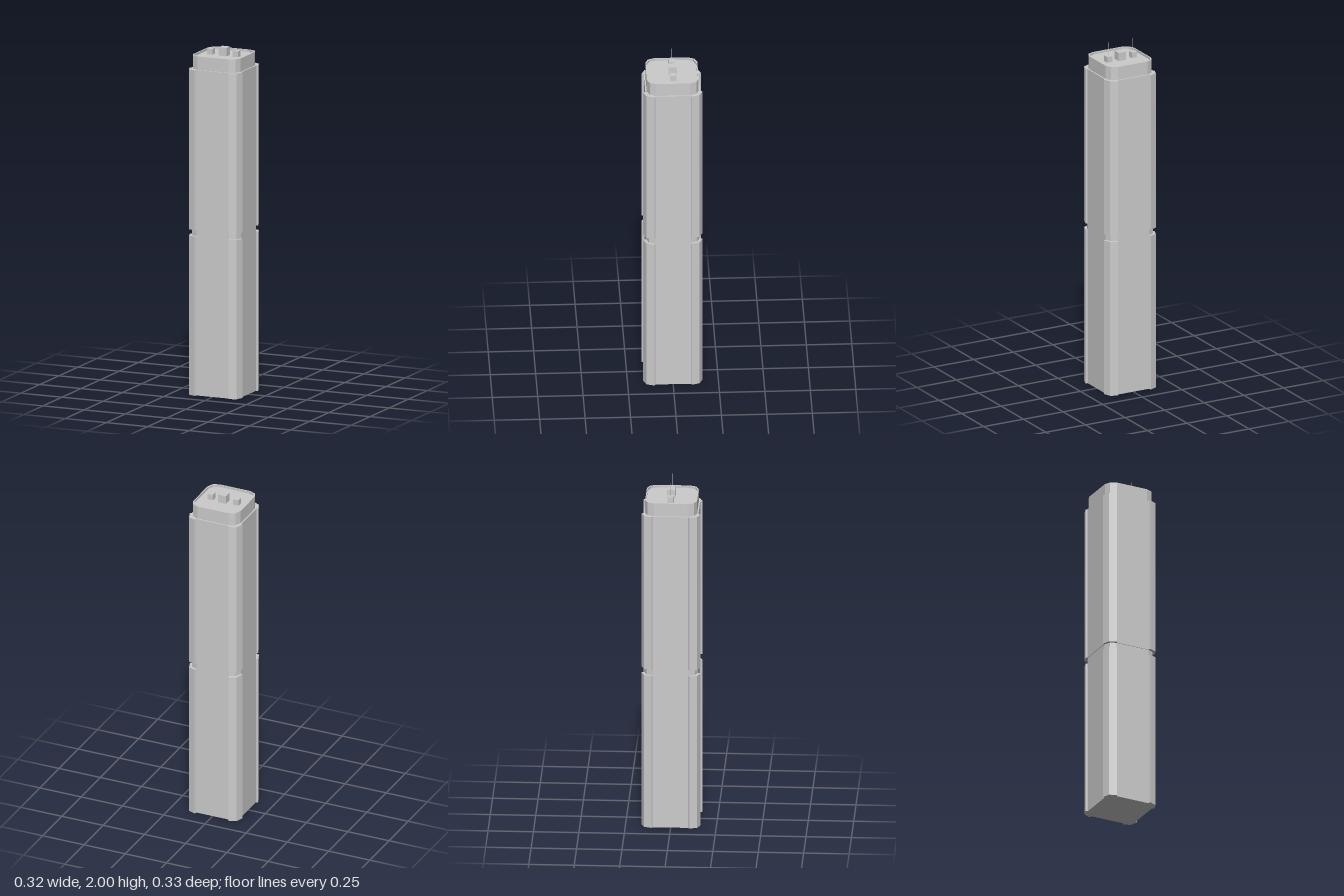
import * as THREE from 'three';

export function createModel() {
  const group = new THREE.Group();
  const material = new THREE.MeshStandardMaterial({ color: 0xcccccc, flatShading: true });

  function add(name, geometry, x = 0, y = 0, z = 0) {
    const mesh = new THREE.Mesh(geometry, material);
    mesh.name = name;
    mesh.position.set(x, y, z);
    group.add(mesh);
    return mesh;
  }

  // Square plan of half width h whose corners are cut by two facets
  function plan(h) {
    const a = h - 0.05, b = h - 0.015;
    const corner = [[h, a], [b, b], [a, h]];
    const points = [];
    for (let i = 0; i < 4; i++) {
      for (const [x, y] of corner) {
        points.push(new THREE.Vector2(x, y).rotateAround(new THREE.Vector2(), i * Math.PI / 2));
      }
    }
    return points;
  }

  // Upright prism from a plan, between two heights
  function prism(name, shape, y0, y1) {
    const geometry = new THREE.ExtrudeGeometry(shape, { depth: y1 - y0, bevelEnabled: false });
    geometry.rotateX(-Math.PI / 2);
    return add(name, geometry, 0, y0, 0);
  }

  // Tower shaft, crown and recessed roof
  prism('lowerShaft', new THREE.Shape(plan(0.148)), 0, 0.93);
  prism('upperShaft', new THREE.Shape(plan(0.151)), 0.93, 1.83);
  prism('crown', new THREE.Shape(plan(0.143)), 1.83, 1.892);
  const rim = new THREE.Shape(plan(0.143));
  rim.holes.push(new THREE.Path(plan(0.137).reverse()));
  prism('roofParapet', rim, 1.892, 1.905);

  // Faceted cladding wrapped around each corner, in two storeys
  const cladding = [
    [0.151, 0.097], [0.159, 0.104], [0.144, 0.146], [0.104, 0.163],
    [0.097, 0.151], [0.101, 0.14], [0.13, 0.13], [0.14, 0.101],
  ];
  for (const sx of [1, -1]) {
    for (const sz of [1, -1]) {
      const points = cladding.map(([x, z]) => new THREE.Vector2(x * sx, z * sz));
      prism('lowerCornerCladding', new THREE.Shape(points), 0, 0.895);
      prism('upperCornerCladding', new THREE.Shape(points), 0.93, 1.83);
    }
  }

  // Rooftop units; the two small ones carry thin masts
  const roofY = 1.892;
  add('centralRoofUnit', new THREE.BoxGeometry(0.047, 0.047, 0.047), 0, roofY + 0.0235, -0.004);
  for (const x of [-0.08, 0.075]) {
    add('smallRoofUnit', new THREE.BoxGeometry(0.033, 0.033, 0.034), x, roofY + 0.0165, -0.003);
    add('antenna', new THREE.CylinderGeometry(0.001, 0.001, 2 - 1.925, 6), x, (2 + 1.925) / 2, -0.002);
  }

  return group;
}
